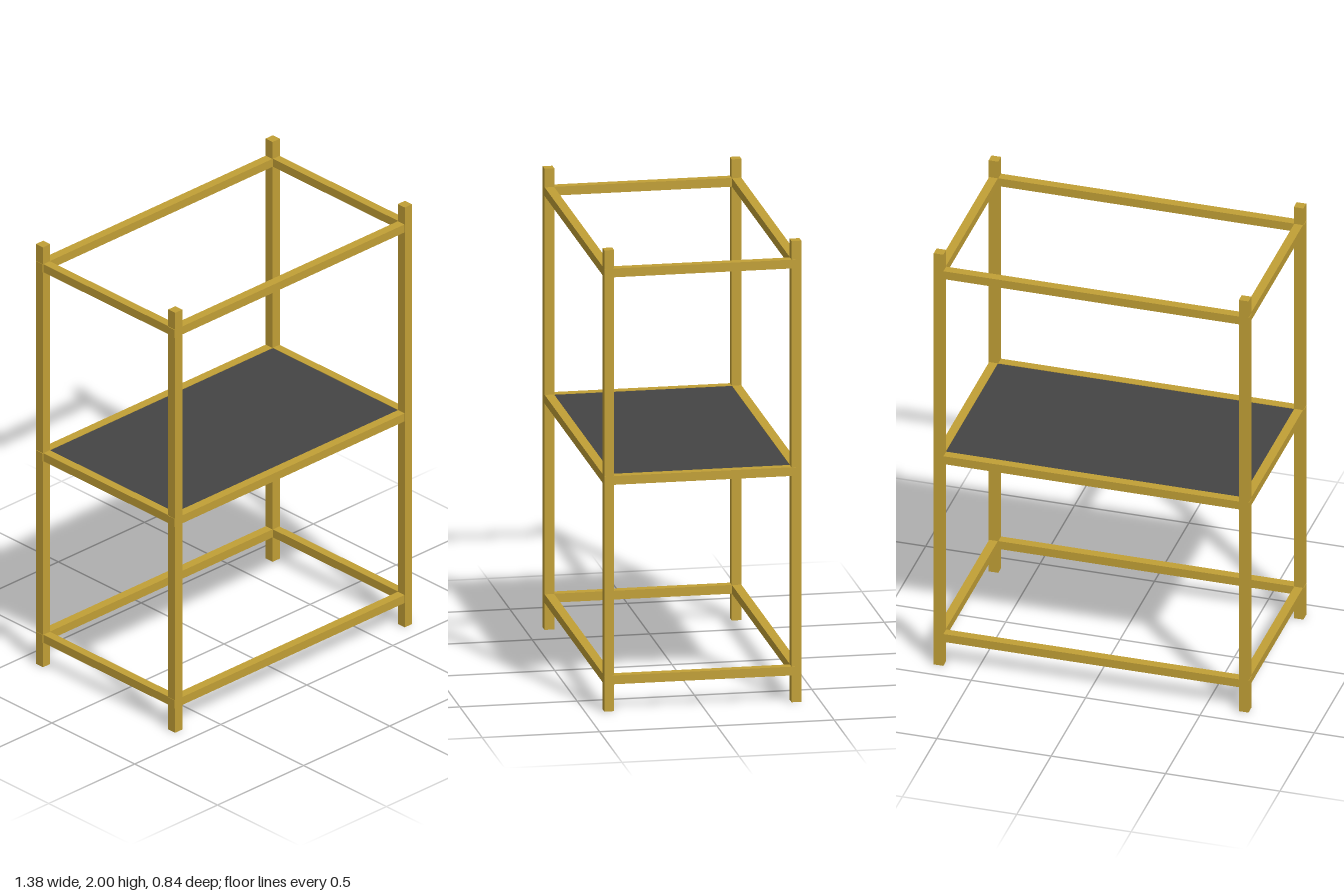
import * as THREE from 'three';

export function createModel() {
  const model = new THREE.Group();
  model.name = 'shelfRack';

  const gold = new THREE.MeshStandardMaterial({ color: 0xc2a036 });
  gold.name = 'gold';
  const charcoal = new THREE.MeshStandardMaterial({ color: 0x454545 });
  charcoal.name = 'charcoal';

  const box = (name, size, position, material) => {
    const mesh = new THREE.Mesh(new THREE.BoxGeometry(...size), material);
    mesh.name = name;
    mesh.position.set(...position);
    model.add(mesh);
  };

  const postX = 0.667, postZ = 0.399; // post centre lines
  const post = 0.042, rail = 0.038;

  // Four corner posts
  for (const x of [-1, 1]) {
    for (const z of [-1, 1]) {
      const name = (z > 0 ? 'front' : 'back') + (x > 0 ? 'Left' : 'Right') + 'Post';
      box(name, [post, 2, post], [x * postX, 1, z * postZ], gold);
    }
  }

  // Three rail frames; the long rails pass just through the posts
  for (const [level, y] of [['lower', 0.135], ['middle', 1], ['upper', 1.9]]) {
    for (const s of [-1, 1]) {
      box(level + (s > 0 ? 'Front' : 'Back') + 'Rail', [1.38, rail, 0.04], [0, y, s * postZ], gold);
      box(level + (s > 0 ? 'Left' : 'Right') + 'Rail', [rail, rail, 2 * postZ - 0.04], [s * postX, y, 0], gold);
    }
  }

  // Thin shelf panel set inside the middle frame
  box('shelfPanel', [2 * postX - rail, 0.01, 2 * postZ - 0.04], [0, 1.012, 0], charcoal);

  return model;
}
